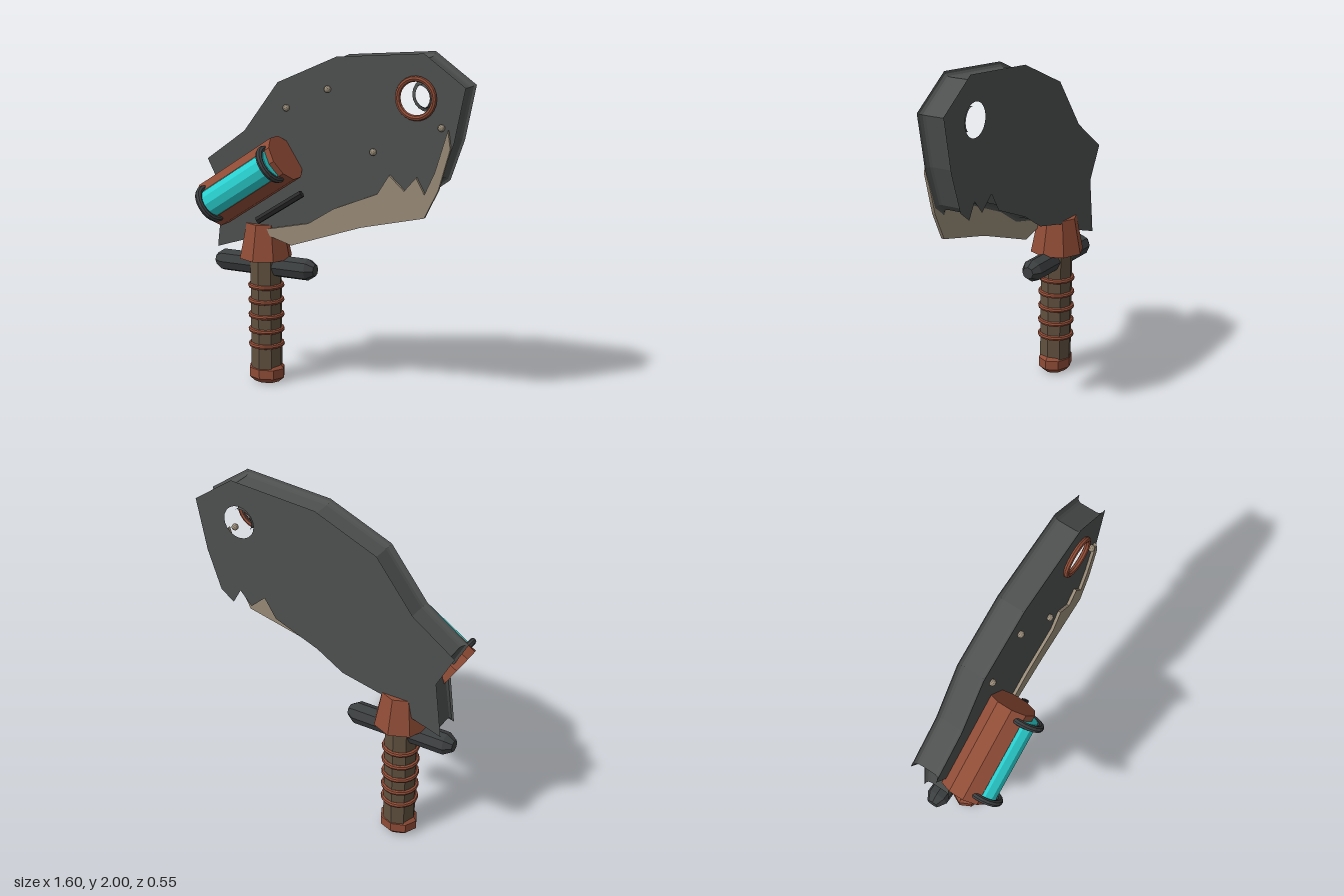
import * as THREE from 'three';

const mat = (color) => new THREE.MeshStandardMaterial({ color, flatShading: true });

export function createModel() {
  const model = new THREE.Group();
  const steel = mat(0x4e5150), copper = mat(0x8f4c36), bone = mat(0x988b78);
  const wood = mat(0x615140), glass = mat(0x2ad0d0), black = mat(0x2a2a2a), iron = mat(0x3c3f40);

  const add = (name, geometry, material, parent = model, x = 0, y = 0, z = 0) => {
    const mesh = new THREE.Mesh(geometry, material);
    mesh.name = name;
    mesh.position.set(x, y, z);
    parent.add(mesh);
    return mesh;
  };
  const shapeOf = (pts) => new THREE.Shape(pts.map(([x, y]) => new THREE.Vector2(x, y)));
  const lathe = (pts, sides) =>
    new THREE.LatheGeometry(pts.map(([r, y]) => new THREE.Vector2(r, y)), sides);

  // Jagged line shared by the blade body and its cutting edge, tip to heel
  const teeth = [[0.64, 1.37], [0.58, 1.24], [0.53, 1.33], [0.46, 1.25], [0.37, 1.33],
    [0.3, 1.22], [0.03, 1.11], [-0.13, 1.01], [-0.4, 0.95]];

  // Blade body: the inward bevel leaves a groove round the rim
  const hole = [0.52, 1.76];
  const outline = shapeOf([[-0.74, 0.81], [-0.7, 1.14], [-0.8, 1.33], [-0.55, 1.51], [-0.33, 1.8],
    [0.04, 1.96], [0.56, 2], [0.8, 1.83], [0.74, 1.53], [0.66, 1.3], ...teeth.slice(1), [-0.46, 0.9]]);
  outline.holes.push(new THREE.Path().absarc(...hole, 0.095, 0, Math.PI * 2, true));
  add('blade', new THREE.ExtrudeGeometry(outline, {
    depth: 0.1, bevelThickness: 0.03, bevelSize: -0.028, bevelSegments: 3, curveSegments: 10,
  }), steel, model, 0, 0, -0.17);

  // Thin cutting edge on the front of the blade
  const edge = shapeOf([[0.71, 1.6], ...teeth, [-0.38, 0.91], [-0.24, 0.87], [0.2, 1.02],
    [0.58, 1.11], [0.66, 1.27], [0.725, 1.5]]);
  add('cuttingEdge', new THREE.ExtrudeGeometry(edge, { depth: 0.018, bevelEnabled: false }),
    bone, model, 0, 0, -0.041);

  // Ring round the hole, and rivets
  add('holeRing', new THREE.TorusGeometry(0.106, 0.016, 8, 24), copper, model, ...hole, -0.03);
  for (const [x, y] of [[-0.27, 1.66], [-0.01, 1.78], [0.27, 1.45], [0.67, 1.61]]) {
    add('rivet', new THREE.IcosahedronGeometry(0.02, 1), bone, model, x, y, -0.03);
  }

  // Canister: its local y runs along the tilted axis
  const canister = new THREE.Group();
  canister.name = 'canister';
  canister.position.set(-0.463, 1.24, 0.06);
  canister.rotation.z = Math.atan2(0.31, 0.475) - Math.PI / 2;
  model.add(canister);
  add('canisterBody', new THREE.CylinderGeometry(0.14, 0.14, 0.567, 10), copper, canister);
  add('glassTube', new THREE.CylinderGeometry(0.087, 0.087, 0.5, 12), glass, canister, 0, 0, 0.088);
  for (const s of [-1, 1]) {
    const clamp = add('clamp', new THREE.TorusGeometry(0.097, 0.019, 8, 20), iron,
      canister, 0, s * 0.237, 0.1);
    clamp.rotation.x = Math.PI / 2;
  }

  // Small lever beside the canister
  const a = new THREE.Vector3(-0.38, 1.03, 0.115), b = new THREE.Vector3(-0.12, 1.2, 0.07);
  const lever = add('lever', new THREE.CylinderGeometry(0.022, 0.022, a.distanceTo(b), 6), black);
  lever.position.lerpVectors(a, b, 0.5);
  lever.quaternion.setFromUnitVectors(new THREE.Vector3(0, 1, 0), b.clone().sub(a).normalize());

  // Hilt, stacked about one vertical axis
  const hilt = new THREE.Group();
  hilt.name = 'hilt';
  hilt.position.set(-0.46, 0, -0.118);
  model.add(hilt);
  add('grip', new THREE.CylinderGeometry(0.095, 0.095, 0.72, 8), wood, hilt, 0, 0.45);
  add('collar', new THREE.CylinderGeometry(0.115, 0.158, 0.21, 8), copper, hilt, 0, 0.865);
  add('pommel', lathe([[0, 0], [0.08, 0], [0.114, 0.03], [0.114, 0.085], [0.085, 0.115], [0, 0.115]], 8),
    copper, hilt).scale.z = 0.84;
  for (let i = 0; i < 5; i++) {
    const ring = add('gripRing', new THREE.TorusGeometry(0.093, 0.015, 8, 16), copper,
      hilt, 0, 0.23 + i * 0.09);
    ring.rotation.x = Math.PI / 2;
  }
  const guard = add('guard', lathe([[0, -0.327], [0.035, -0.327], [0.065, -0.28], [0.065, 0.28],
    [0.035, 0.327], [0, 0.327]], 8), iron, hilt, 0, 0.712);
  guard.rotation.z = Math.PI / 2;

  return model;
}
